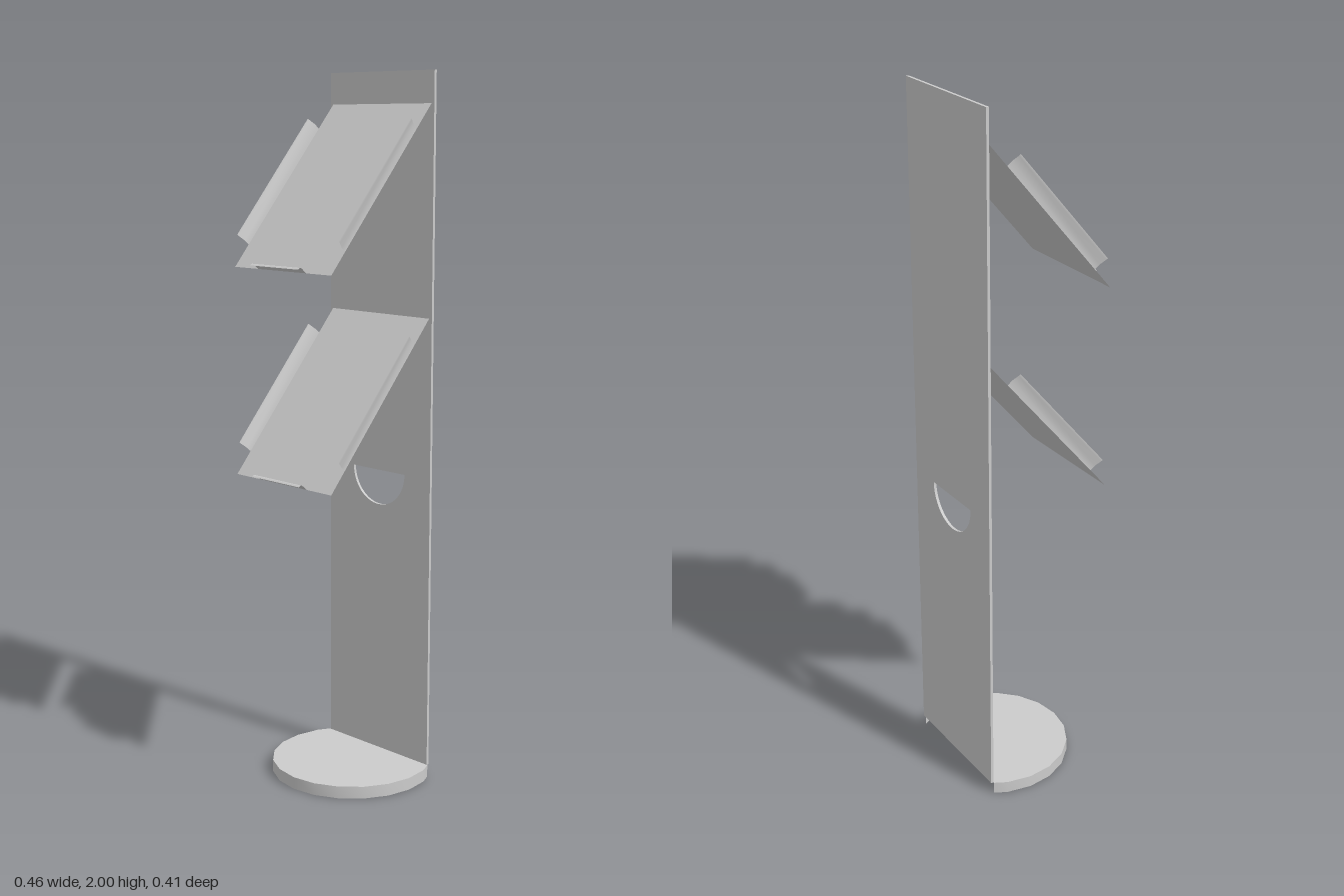
import * as THREE from 'three';

const material = new THREE.MeshStandardMaterial({ color: 0xcccccc, side: THREE.DoubleSide });
const BACK = -0.197;

function mesh(name, geometry) {
  const m = new THREE.Mesh(geometry, material);
  m.name = name;
  return m;
}

// Thin folded sheet: a [y, z] profile swept along x
function sheet(profile, length) {
  const g = new THREE.PlaneGeometry(length, 1, 1, profile.length - 1);
  const p = g.attributes.position;
  for (let i = 0; i < p.count; i++) {
    const [y, z] = profile[Math.floor(i / 2)];
    p.setXYZ(i, p.getX(i), y, z);
  }
  g.computeVertexNormals();
  return g;
}

// Upright back panel with a half-round hand hole
function backPanel() {
  const s = new THREE.Shape();
  s.moveTo(-0.2, 0.035).lineTo(0.2, 0.035).lineTo(0.2, 2).lineTo(-0.2, 2).closePath();
  const hole = new THREE.Path();
  hole.moveTo(-0.1, 0.878);
  hole.absarc(0, 0.878, 0.102, Math.PI, 2 * Math.PI, false);
  hole.closePath();
  s.holes.push(hole);
  const g = new THREE.ExtrudeGeometry(s, { depth: 0.008, bevelEnabled: false, curveSegments: 16 });
  g.translate(0, 0, BACK - 0.008);
  return mesh('backPanel', g);
}

// Hollow foot: round plate cut straight at the back, with a skirt open below
function base() {
  const group = new THREE.Group();
  group.name = 'base';
  const r = 0.232, cz = -0.09, h = 0.035;
  const rim = [[0.203, BACK]];
  for (let i = -1; i <= 11; i++) {
    const a = (i * Math.PI) / 10;
    rim.push([r * Math.cos(a), cz + r * Math.sin(a)]);
  }
  rim.push([-0.203, BACK]);
  const plate = mesh('basePlate', new THREE.ShapeGeometry(
    new THREE.Shape(rim.map(([x, z]) => new THREE.Vector2(x, z)))));
  plate.rotation.x = Math.PI / 2;
  plate.position.y = h;
  const skirt = mesh('baseSkirt', sheet(rim, h));
  skirt.rotation.z = Math.PI / 2;
  skirt.position.y = h / 2;
  group.add(plate, skirt);
  return group;
}

// Sloping tray: local z runs down the slope, local y is its normal
function tray(name, topY) {
  const group = new THREE.Group();
  group.name = name;
  const length = 0.577;
  group.add(mesh('trayPlate', sheet([[0, 0], [0, length]], 0.38)));

  // Curled stop along the lower edge
  const lip = [[0, length], [0.021, length], [0.026, length + 0.002],
    [0.028, length + 0.005], [0.029, length + 0.01]];
  group.add(mesh('trayLip', sheet(lip, 0.19)));

  // Flared side flaps
  for (const side of [1, -1]) {
    const profile = [[0, 0.19], [0.018, 0.191], [0.037, 0.199], [0.043, 0.2]]
      .map(([y, x]) => [y, -side * x]);
    const flap = mesh(side > 0 ? 'leftFlap' : 'rightFlap', sheet(profile, 0.412));
    flap.rotation.y = -Math.PI / 2;
    flap.position.z = 0.294;
    group.add(flap);
  }
  group.rotation.x = Math.atan2(0.44, 0.374);
  group.position.set(0, topY, BACK);
  return group;
}

export function createModel() {
  const model = new THREE.Group();
  model.name = 'displayStand';
  model.add(backPanel(), base(), tray('upperTray', 1.912), tray('lowerTray', 1.331));
  return model;
}
